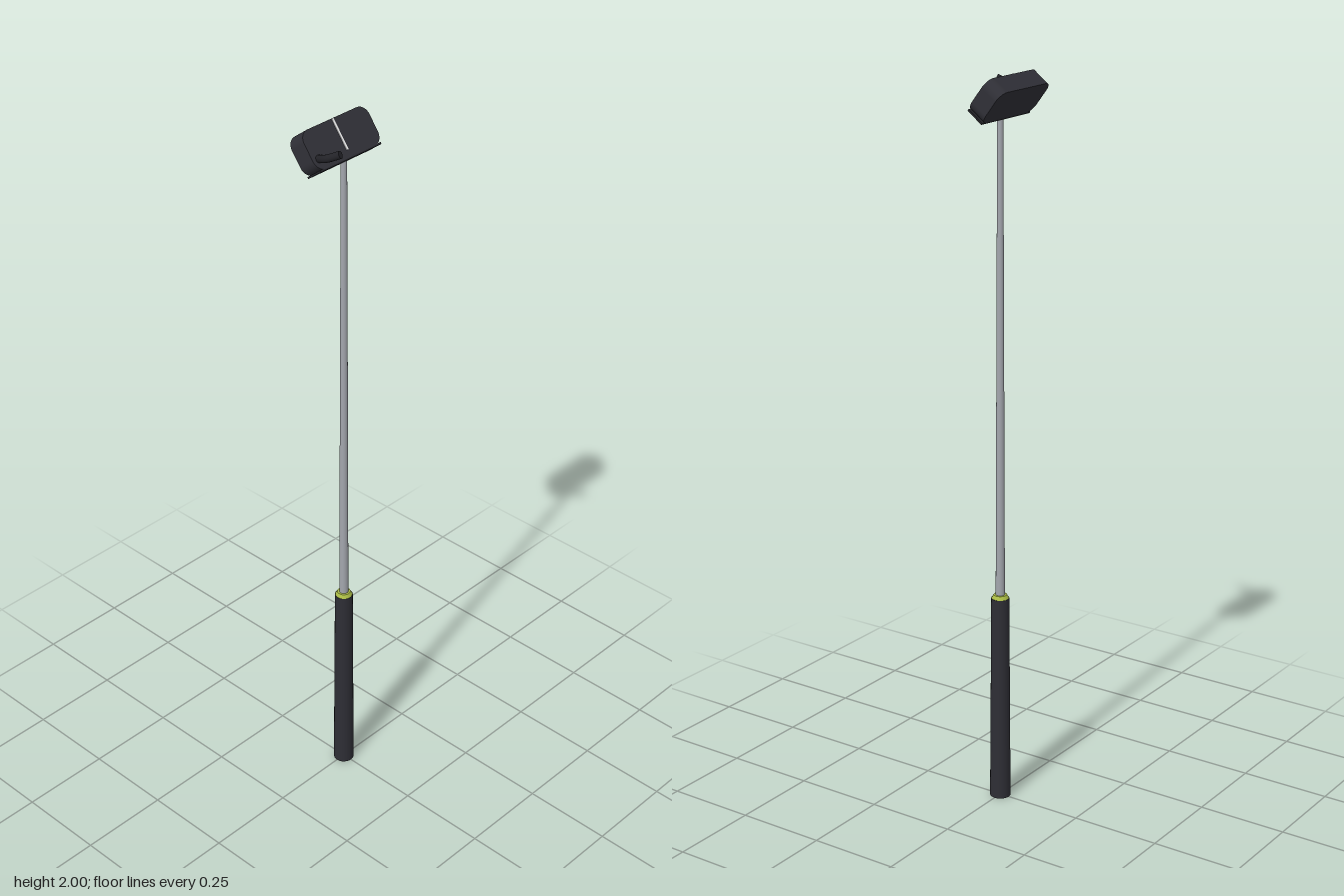
import * as THREE from 'three';

const mat = (name, hex, extra = {}) => {
  const m = new THREE.MeshStandardMaterial({ color: hex, ...extra });
  m.name = name;
  return m;
};

export function createModel() {
  const rubber = mat('dark rubber', 0x2e2e35);
  const headMetal = mat('black metal', 0x303037);
  const faceMetal = mat('face black', 0x232328);
  const steel = mat('steel', 0xa3a6ad);
  const lime = mat('lime trim', 0xaabb45);
  const white = mat('white paint', 0xf0f0f0);

  const model = new THREE.Group();
  model.name = 'putter';
  const add = (parent, name, geo, material, x = 0, y = 0, z = 0) => {
    const m = new THREE.Mesh(geo, material);
    m.name = name;
    m.position.set(x, y, z);
    parent.add(m);
    return m;
  };
  // Upright round part between two heights
  const rod = (name, y0, y1, r0, r1, material) =>
    add(model, name, new THREE.CylinderGeometry(r1, r0, y1 - y0, 24), material, 0, (y0 + y1) / 2, 0);

  // Grip, trim ring and tapering shaft
  rod('grip', 0, 0.588, 0.0285, 0.0245, rubber);
  rod('gripRing', 0.588, 0.598, 0.0235, 0.018, lime);
  rod('shaft', 0.59, 1.92, 0.0125, 0.0078, steel);

  // Tilted head, origin at the front edge of the striking face
  const head = new THREE.Group();
  head.name = 'head';
  head.position.set(0, 1.917, 0.025);
  head.rotation.x = -0.655;
  model.add(head);

  // Rounded head body
  const w = 0.113, b = 0.003, t = 0.105, r = 0.028, depth = 0.052;
  const s = new THREE.Shape();
  s.moveTo(-w + r, b);
  s.lineTo(w - r, b);
  s.absarc(w - r, b + r, r, -Math.PI / 2, 0);
  s.absarc(w - r, t - r, r, 0, Math.PI / 2);
  s.absarc(-w + r, t - r, r, Math.PI / 2, Math.PI);
  s.absarc(-w + r, b + r, r, Math.PI, Math.PI * 1.5);
  add(head, 'headBody', new THREE.ExtrudeGeometry(s, { depth, bevelEnabled: false, curveSegments: 12 }),
    headMetal, 0, 0, -depth);

  // Striking face plate and alignment line
  add(head, 'facePlate', new THREE.BoxGeometry(0.212, 0.005, depth), faceMetal, 0, 0.0025, -depth / 2);
  add(head, 'alignmentLine', new THREE.BoxGeometry(0.006, 0.082, 0.002), white, 0, 0.063, 0.0005);

  // Bent neck with a closed tip
  const path = new THREE.CatmullRomCurve3([
    new THREE.Vector3(-0.084, 1.932, -0.012),
    new THREE.Vector3(-0.094, 1.944, 0.012),
    new THREE.Vector3(-0.099, 1.955, 0.038),
    new THREE.Vector3(-0.085, 1.971, 0.07),
  ]);
  add(model, 'neck', new THREE.TubeGeometry(path, 20, 0.0098, 16), faceMetal);
  const tip = add(model, 'neckTip', new THREE.CircleGeometry(0.0098, 16), faceMetal);
  tip.position.copy(path.getPoint(1));
  tip.lookAt(path.getPoint(1).add(path.getTangent(1)));

  return model;
}
